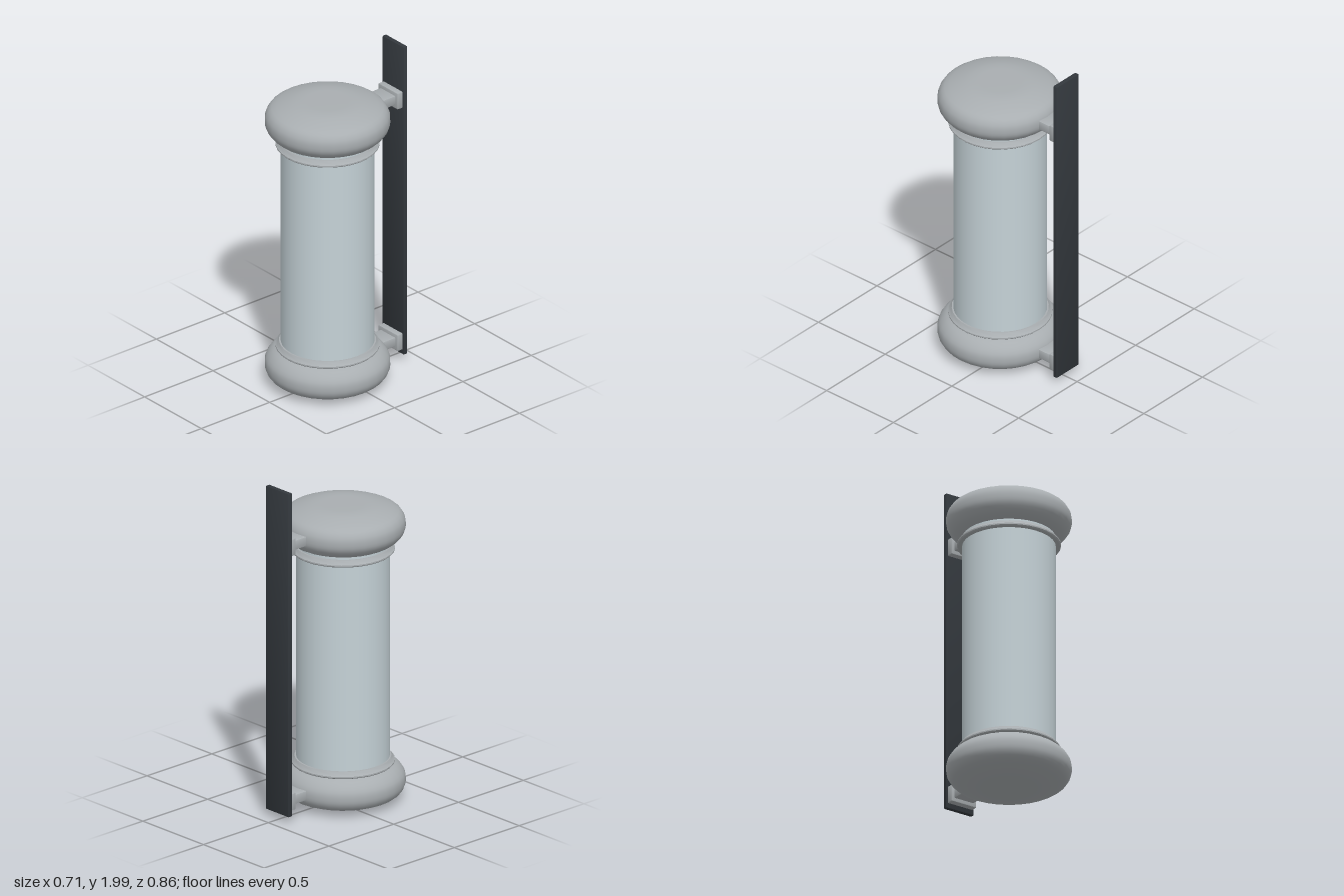
import * as THREE from 'three';
import { RoundedBoxGeometry } from 'three/addons/geometries/RoundedBoxGeometry.js';
import { toCreasedNormals } from 'three/addons/utils/BufferGeometryUtils.js';

const SIDES = 32;
const AXIS_Z = 0.076; // the column stands forward of its wall plate

export function createModel() {
  const model = new THREE.Group();
  model.name = 'wallLamp';

  const metal = new THREE.MeshStandardMaterial({ name: 'brushedMetal', color: 0xa9aeb1 });
  const glass = new THREE.MeshStandardMaterial({ name: 'paleGlass', color: 0xc5d2d7 });
  const dark = new THREE.MeshStandardMaterial({ name: 'darkPlate', color: 0x33383d });

  const add = (name, geometry, material, y, z) => {
    const mesh = new THREE.Mesh(geometry, material);
    mesh.name = name;
    mesh.position.set(0, y, z);
    model.add(mesh);
    return mesh;
  };
  const lathe = (points) =>
    new THREE.LatheGeometry(points.map(([r, y]) => new THREE.Vector2(r, y)), SIDES);
  const box = (w, h, d, bevel) =>
    toCreasedNormals(new RoundedBoxGeometry(w, h, d, 1, bevel), 0.5);

  // Glass column
  add('column', new THREE.CylinderGeometry(0.265, 0.265, 1.36, SIDES, 1, true), glass, 0.887, AXIS_Z);

  // Cushion-shaped caps, heights measured from the widest ring
  const rim = new THREE.SplineCurve([
    [0.23, -0.12], [0.304, -0.09], [0.346, -0.045], [0.355, 0],
    [0.346, 0.042], [0.309, 0.079], [0.203, 0.111], [0.125, 0.118],
  ].map(([r, y]) => new THREE.Vector2(r, y))).getPoints(20);
  const capPoints = [[0, -0.12], ...rim.map((p) => [p.x, p.y]), [0, 0.118]];
  const capGeometry = lathe(capPoints);
  add('topCap', capGeometry, metal, 1.667, AXIS_Z);
  add('bottomCap', capGeometry, metal, 0.125, AXIS_Z).rotation.x = Math.PI;

  // Stepped collars where the column meets the caps
  const collarGeometry = toCreasedNormals(lathe([
    [0.255, 0], [0.288, 0], [0.294, 0.006], [0.294, 0.014], [0.284, 0.022],
    [0.279, 0.03], [0.274, 0.038], [0.255, 0.038],
  ]), 0.6);
  add('topCollar', collarGeometry, metal, 1.507, AXIS_Z);
  add('bottomCollar', collarGeometry, metal, 0.229, AXIS_Z);

  // Brackets: a stem from each cap and a pad against the plate
  const stemGeometry = box(0.132, 0.058, 0.17, 0.006);
  const padGeometry = box(0.17, 0.102, 0.042, 0.005);
  for (const [side, y] of [['top', 1.663], ['bottom', 0.127]]) {
    add(side + 'Stem', stemGeometry, metal, y, -0.285);
    add(side + 'Pad', padGeometry, metal, y, -0.387);
  }

  // Wall plate
  add('wallPlate', box(0.19, 1.955, 0.028, 0.006), dark, 1.0225, -0.417);

  return model;
}
